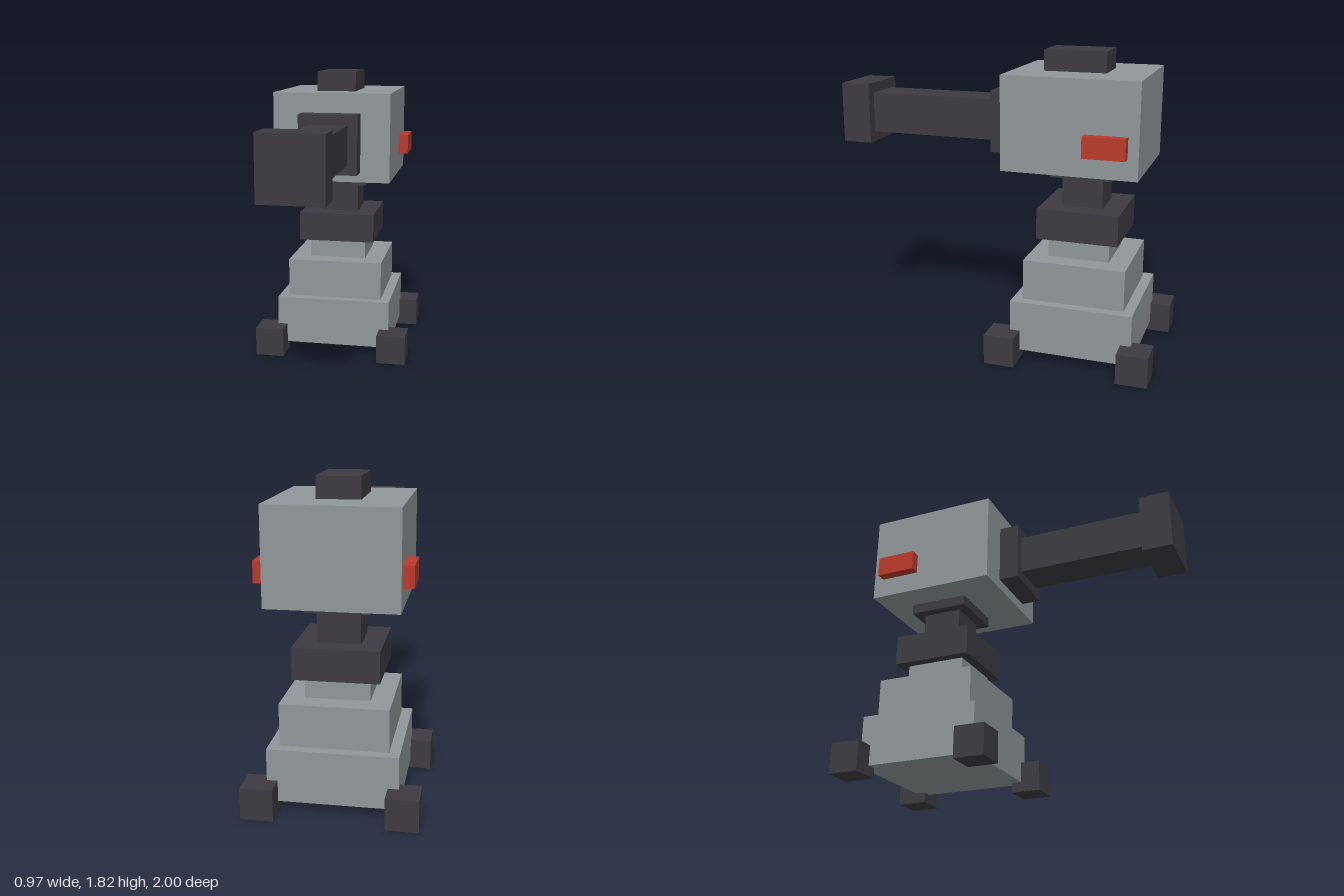
import * as THREE from 'three';

const U = 2 / 33; // one block unit

export function createModel() {
  const model = new THREE.Group();
  model.name = 'turret';

  const mat = (name, color) => {
    const m = new THREE.MeshStandardMaterial({ color });
    m.name = name;
    return m;
  };
  const grey = mat('grey metal', 0x90979a);
  const dark = mat('dark metal', 0x3d3b41);
  const red = mat('red', 0xb93a2b);

  // Box from its lower and upper limits, in block units
  const box = (name, material, [x0, x1], [y0, y1], [z0, z1]) => {
    const geometry = new THREE.BoxGeometry((x1 - x0) * U, (y1 - y0) * U, (z1 - z0) * U);
    const mesh = new THREE.Mesh(geometry, material);
    mesh.position.set((x0 + x1) * U / 2, (y0 + y1) * U / 2, (z0 + z1) * U / 2);
    mesh.name = name;
    model.add(mesh);
  };

  // Stacked square tiers of the pedestal, all on one axis
  const axis = -8.5;
  const tier = (name, material, half, y0, y1) =>
    box(name, material, [-half, half], [y0, y1], [axis - half, axis + half]);
  tier('base', grey, 6, 1, 6);
  tier('middleTier', grey, 5, 6, 10);
  tier('upperTier', grey, 3, 10, 12);
  tier('turntable', dark, 4, 12, 15);
  tier('neck', dark, 2, 15, 18);
  tier('neckCollar', dark, 3, 18, 19);

  // Head with its top hatch
  box('head', grey, [-6, 6], [19, 28], [-14.5, -1.5]);
  box('topHatch', dark, [-2, 2], [28, 30], [-10.5, -4.5]);

  // Barrel
  box('barrelMount', dark, [-3, 3], [20, 26], [-1.5, 0.5]);
  box('barrel', dark, [-2, 2], [21, 25], [0.5, 13.5]);
  box('muzzle', dark, [-3, 3], [20, 26], [13.5, 16.5]);

  // Side lights and corner feet
  for (const side of [-1, 1]) {
    const name = side > 0 ? 'left' : 'right';
    const span = (a, b) => (side > 0 ? [a, b] : [-b, -a]);
    box(name + 'Light', red, span(6, 7), [21, 23], [-13.5, -9.5]);
    box(name + 'FrontFoot', dark, span(5, 8), [0, 3], [-3.5, -0.5]);
    box(name + 'BackFoot', dark, span(5, 8), [0, 3], [-16.5, -13.5]);
  }

  return model;
}
